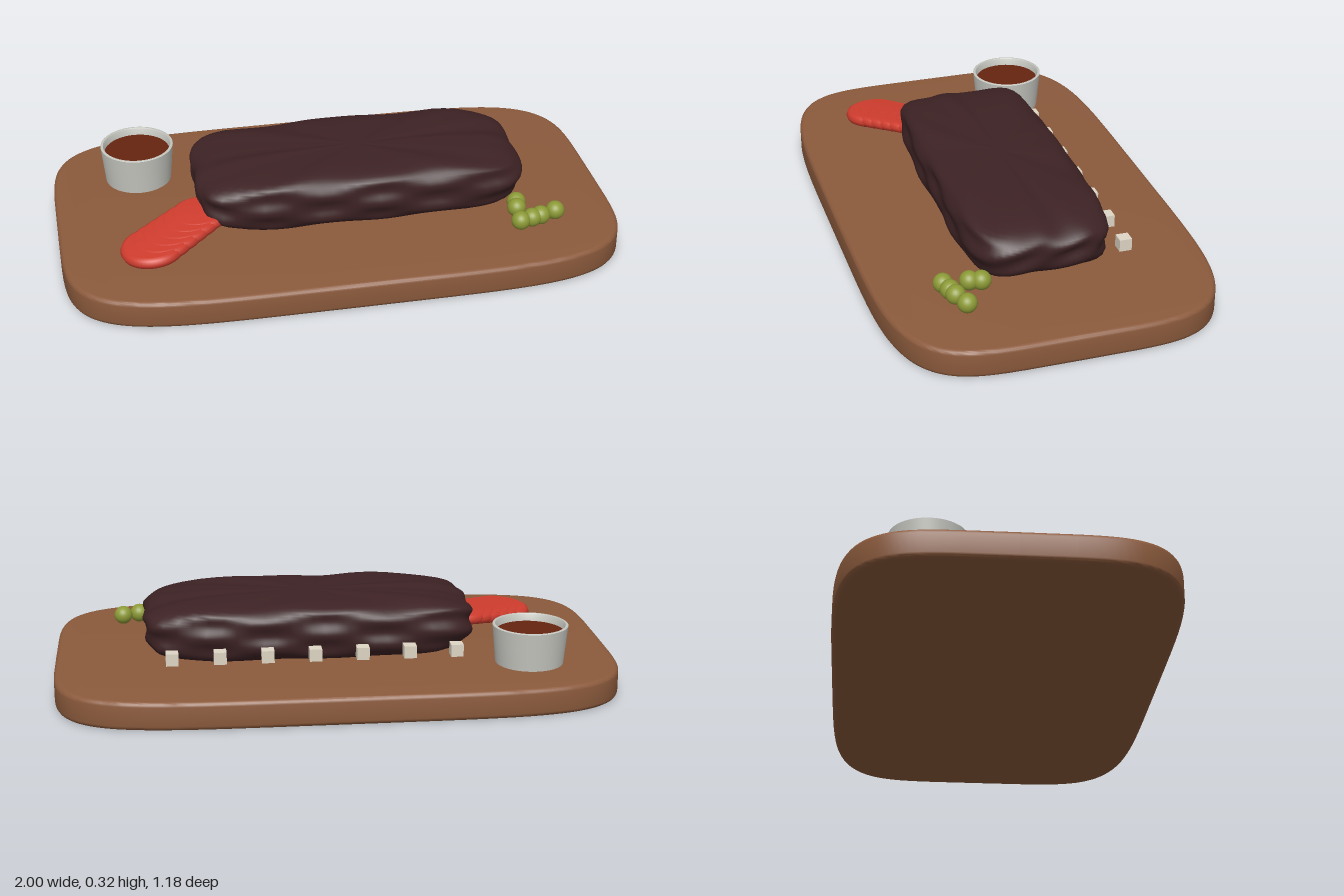
import * as THREE from 'three';
import { mergeVertices, toCreasedNormals } from 'three/addons/utils/BufferGeometryUtils.js';

const paint = (name, color) => {
  const m = new THREE.MeshStandardMaterial({ color });
  m.name = name;
  return m;
};

// Superellipse outline with soft corners
function superellipse(a, b, n, count) {
  const pts = [];
  for (let i = 0; i < count; i++) {
    const t = (i / count) * Math.PI * 2, c = Math.cos(t), s = Math.sin(t);
    pts.push(new THREE.Vector2(
      a * Math.sign(c) * Math.abs(c) ** (2 / n),
      b * Math.sign(s) * Math.abs(s) ** (2 / n)));
  }
  return new THREE.Shape(pts);
}

function boardGeometry() {
  const bevel = 0.016;
  const geo = new THREE.ExtrudeGeometry(superellipse(1 - bevel, 0.59 - bevel, 5.2, 120), {
    depth: 0.1 - 2 * bevel, bevelEnabled: true, bevelThickness: bevel, bevelSize: bevel, bevelSegments: 4,
  });
  geo.rotateX(-Math.PI / 2).translate(0, bevel, 0);
  return toCreasedNormals(geo, 0.6);
}

// Boxy slab of meat: sphere pushed out to a soft box, tapered below, lightly wrinkled
function meatGeometry() {
  let geo = new THREE.SphereGeometry(1, 88, 56);
  geo.deleteAttribute('normal');
  geo.deleteAttribute('uv');
  geo = mergeVertices(geo, 1e-5);
  const p = geo.attributes.position, v = new THREE.Vector3(), n = 5.5;
  for (let i = 0; i < p.count; i++) {
    v.fromBufferAttribute(p, i);
    const len = (Math.abs(v.x) ** n + Math.abs(v.y) ** n + Math.abs(v.z) ** n) ** (1 / n);
    v.divideScalar(len);
    const angle = Math.atan2(v.z, v.x), reach = Math.min(1, Math.hypot(v.x, v.z));
    const taper = 1 - 0.1 * Math.max(0, -v.y) ** 2;
    const lump = 0.008 * Math.sin(9 * v.x + 4 * v.z) * Math.sin(7 * v.y + 5 * v.z);
    // Creases fan out from the middle of the top
    const crease = v.y > 0 ? 0.004 * reach * v.y * (Math.sin(7 * angle) + 0.6 * Math.sin(13 * angle + 1)) : 0;
    const sag = v.y > 0 ? 0.016 * Math.abs(v.x) ** 4 * v.y : 0;
    p.setXYZ(i,
      v.x * (0.588 * taper + lump),
      v.y * 0.106 + crease - sag,
      v.z * (0.252 * taper + lump));
  }
  geo.computeVertexNormals();
  return geo;
}

const lathe = (pts, segments = 48) =>
  new THREE.LatheGeometry(pts.map(([x, y]) => new THREE.Vector2(x, y)), segments);

export function createModel() {
  const wood = paint('board wood', 0x8b5a3c);
  const meat = paint('dark crust', 0x3d2224);
  const ceramic = paint('white ceramic', 0xc6c6c0);
  const sauceBrown = paint('sauce brown', 0x662410);
  const red = paint('tomato red', 0xd13d2e);
  const green = paint('olive green', 0x8c9a36);
  const cream = paint('cream cube', 0xded5c4);

  const model = new THREE.Group();
  const add = (name, geo, mat, x = 0, y = 0, z = 0, parent = model) => {
    const mesh = new THREE.Mesh(geo, mat);
    mesh.name = name;
    mesh.position.set(x, y, z);
    parent.add(mesh);
    return mesh;
  };
  const group = (name) => {
    const g = new THREE.Group();
    g.name = name;
    model.add(g);
    return g;
  };

  add('servingBoard', boardGeometry(), wood);
  add('meatSlab', meatGeometry(), meat, 0.09, 0.207, 0);

  // Sauce pot with a hollow top
  const pot = group('saucePot');
  pot.position.set(-0.68, 0.1, -0.275);
  const wall = lathe([[0, 0], [0.121, 0], [0.134, 0.138], [0.131, 0.14], [0.125, 0.14], [0.122, 0.136], [0.118, 0.09]]);
  add('potWall', toCreasedNormals(wall, 0.6), ceramic, 0, 0, 0, pot);
  const sauce = new THREE.CircleGeometry(0.121, 48).rotateX(-Math.PI / 2);
  add('sauce', sauce, sauceBrown, 0, 0.112, 0, pot);

  // Fanned tomato slices, each resting on the one before
  const slices = group('tomatoSlices');
  const slice = lathe([[0, -0.022], [0.095, -0.022], [0.108, -0.015], [0.114, 0], [0.108, 0.015], [0.095, 0.022], [0, 0.022]]);
  for (let i = 0; i < 6; i++) {
    const t = i / 5;
    const s = add('tomatoSlice', slice, red, -0.682 + 0.18 * t, 0.13 + 0.03 * t, 0.27 - 0.135 * t, slices);
    s.rotation.z = 0.08;
    s.scale.setScalar(1 - 0.08 * t);
  }

  // Olives at the front corner
  const olives = group('olives');
  const olive = new THREE.SphereGeometry(0.034, 24, 16);
  for (const [x, z] of [[0.62, 0.356], [0.665, 0.344], [0.7, 0.334], [0.76, 0.312], [0.63, 0.268], [0.64, 0.228]])
    add('olive', olive, green, x, 0.138, z, olives);

  // Row of small cubes behind the meat
  const cubes = group('cubeRow');
  const cube = new THREE.BoxGeometry(0.044, 0.044, 0.044);
  for (let i = 0; i < 7; i++) add('cube', cube, cream, -0.413 + i * 0.1665, 0.161, -0.296, cubes);

  return model;
}
